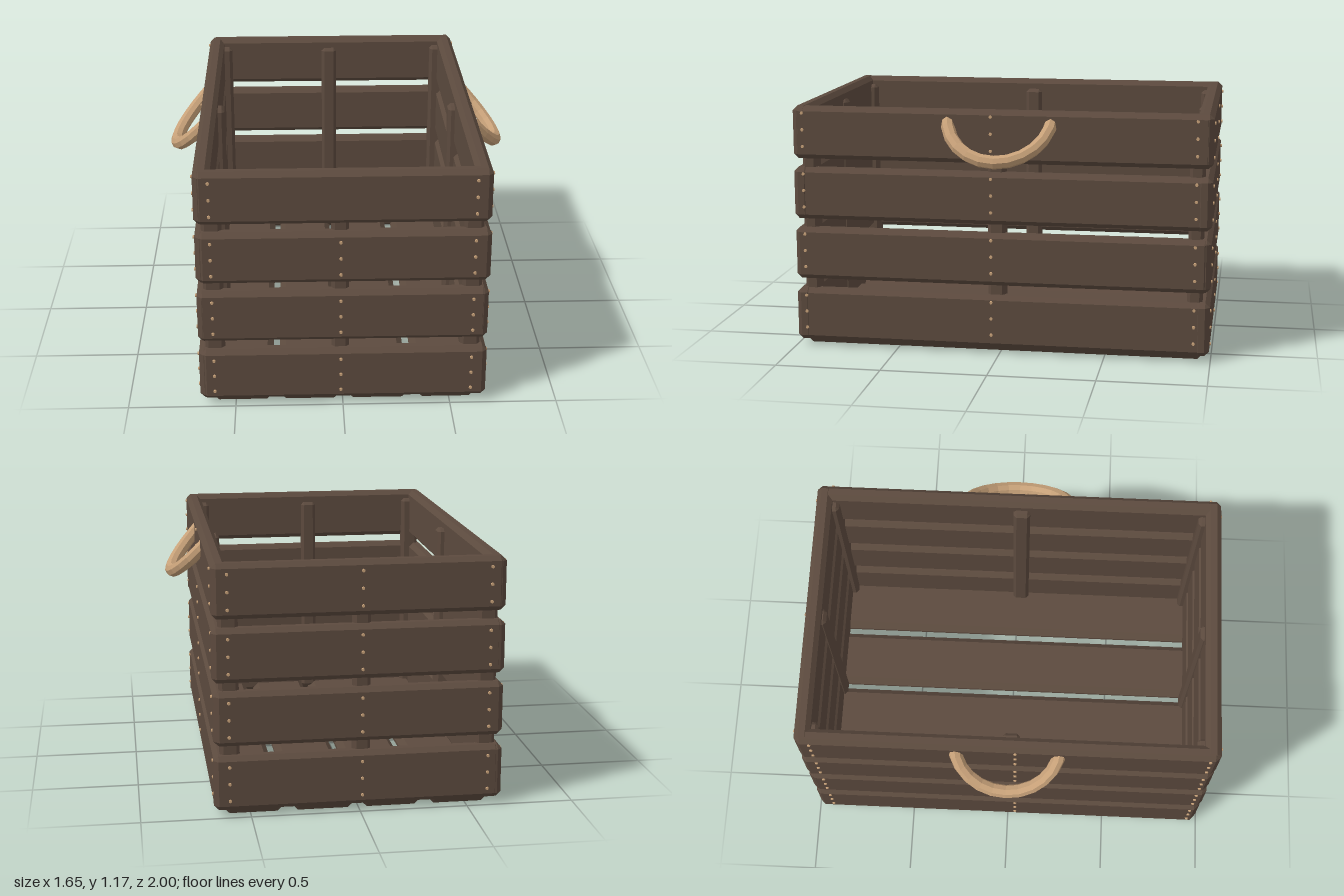
import * as THREE from 'three';
import { ConvexGeometry } from 'three/addons/geometries/ConvexGeometry.js';

const wood = new THREE.MeshStandardMaterial({ color: 0x5c4a3e });
wood.name = 'darkWood';
const tan = new THREE.MeshStandardMaterial({ color: 0xc6a078 });
tan.name = 'tanRope';

// Box given by its ranges, with every edge chamfered by c
function plank(name, [x0, x1], [y0, y1], [z0, z1], c) {
  const h = [(x1 - x0) / 2, (y1 - y0) / 2, (z1 - z0) / 2];
  const points = [];
  for (const sx of [-1, 1]) for (const sy of [-1, 1]) for (const sz of [-1, 1]) {
    for (let axis = 0; axis < 3; axis++) {
      const p = h.map((v, i) => (i === axis ? v : v - c));
      points.push(new THREE.Vector3(sx * p[0], sy * p[1], sz * p[2]));
    }
  }
  const mesh = new THREE.Mesh(new ConvexGeometry(points), wood);
  mesh.position.set((x0 + x1) / 2, (y0 + y1) / 2, (z0 + z1) / 2);
  mesh.name = name;
  return mesh;
}

// Range mirrored to the chosen side
const side = (s, a, b) => (s > 0 ? [a, b] : [-b, -a]);

export function createModel() {
  const crate = new THREE.Group();
  crate.name = 'crate';

  // Floor boards
  const floor = new THREE.Group();
  floor.name = 'floor';
  for (const range of [[-0.61, -0.325], [-0.295, -0.01], [0.02, 0.31], [0.345, 0.625]]) {
    floor.add(plank('floorBoard', range, [0, 0.075], [-0.968, 0.968], 0.03));
  }
  crate.add(floor);

  // Wall slats: four rows, with small shifts from row to row
  const rows = [[0.03, 0.285], [0.333, 0.585], [0.628, 0.877], [0.92, 1.17]];
  const shift = [0.003, -0.004, 0.004, 0];
  const walls = new THREE.Group();
  walls.name = 'walls';
  rows.forEach(([y0, y1], i) => {
    const d = shift[i];
    for (const s of [-1, 1]) {
      walls.add(plank(s > 0 ? 'frontSlat' : 'backSlat',
        [-0.657 + d, 0.664 + d], [y0, y1 + 0.002], side(s, 0.918, 0.993), 0.022));
      walls.add(plank(s > 0 ? 'leftSlat' : 'rightSlat',
        side(s, 0.588, 0.665), [y0, y1], [-0.988 - d, 0.988 - d], 0.022));
    }
  });
  crate.add(walls);

  // Corner and middle posts
  const posts = new THREE.Group();
  posts.name = 'posts';
  for (const s of [-1, 1]) {
    for (const t of [-1, 1]) {
      posts.add(plank('cornerPost', side(s, 0.545, 0.635), [0.05, 1.13], side(t, 0.885, 0.957), 0.015));
    }
    posts.add(plank('middlePost', [-0.052, 0.028], [0.05, 1.12], side(s, 0.898, 0.96), 0.015));
    posts.add(plank('sidePost', side(s, 0.555, 0.635), [0.05, 1.12], [-0.025, 0.058], 0.015));
  }
  crate.add(posts);

  // Nail heads: three per post on each slat
  const nails = new THREE.Group();
  nails.name = 'nails';
  const nailGeometry = new THREE.CylinderGeometry(0.007, 0.01, 0.014, 6);
  const addNail = (x, y, z, rx, rz) => {
    const nail = new THREE.Mesh(nailGeometry, tan);
    nail.name = 'nail';
    nail.position.set(x, y, z);
    nail.rotation.set(rx, 0, rz);
    nails.add(nail);
  };
  rows.forEach(([y0, y1], i) => {
    for (const k of [-1, 0, 1]) {
      const y = (y0 + y1) / 2 + k * 0.08;
      for (const s of [-1, 1]) {
        for (const x of [-0.595, -0.01, 0.595]) {
          if (i === 3 && s > 0 && x === -0.01) continue;
          addNail(x, y, s * 0.993, s * Math.PI / 2, 0);
        }
        for (const z of [-0.92, 0.038, 0.943]) {
          addNail(s * 0.665, y + 0.015, z, 0, -s * Math.PI / 2);
        }
      }
    }
  });
  crate.add(nails);

  // Drooping half-ring rope handles on both long sides
  for (const s of [-1, 1]) {
    const points = [];
    for (let i = 0; i <= 10; i++) {
      const a = Math.PI * i / 10;
      const d = Math.sin(a);
      points.push(new THREE.Vector3(s * (0.622 + 0.173 * d), 1.138 - 0.188 * d, 0.247 * Math.cos(a)));
    }
    const geometry = new THREE.TubeGeometry(new THREE.CatmullRomCurve3(points), 12, 0.032, 8).toNonIndexed();
    geometry.computeVertexNormals();
    const handle = new THREE.Mesh(geometry, tan);
    handle.name = s > 0 ? 'leftHandle' : 'rightHandle';
    crate.add(handle);
  }

  return crate;
}
